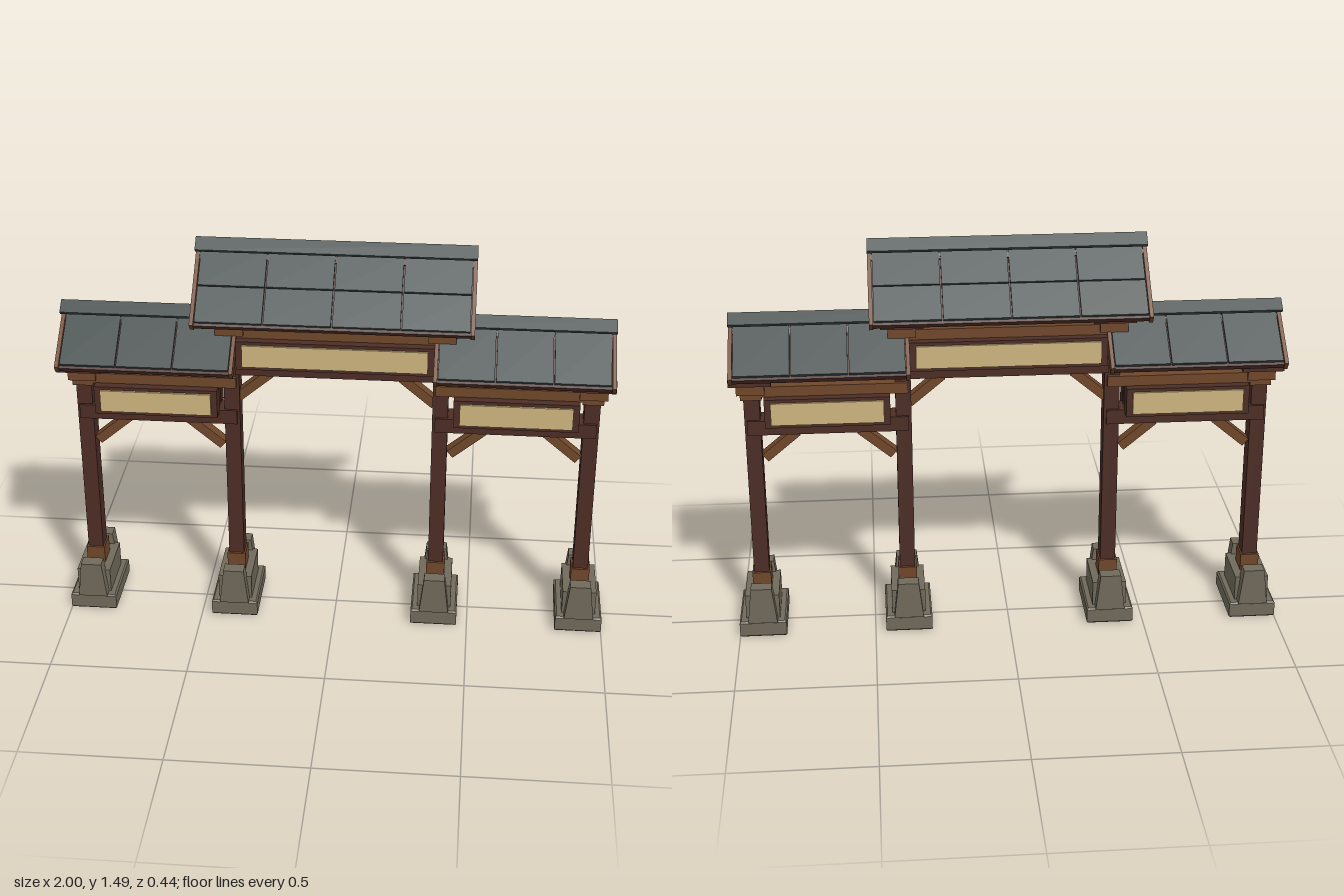
import * as THREE from 'three';

const mat = (name, color) => {
  const m = new THREE.MeshStandardMaterial({ color });
  m.name = name;
  return m;
};

export function createModel() {
  const darkWood = mat('dark wood', 0x4c2d25);
  const lightWood = mat('light wood', 0x70472a);
  const stone = mat('stone', 0x706a5a);
  const slate = mat('slate', 0x394443);
  const cream = mat('cream panel', 0xcdb57e);

  const gate = new THREE.Group();
  gate.name = 'gateway';

  const add = (parent, name, geo, material, x = 0, y = 0, z = 0) => {
    const m = new THREE.Mesh(geo, material);
    m.name = name;
    m.position.set(x, y, z);
    parent.add(m);
    return m;
  };
  // box given by its width, bottom, top and depth
  const slab = (parent, name, material, x, w, y0, y1, d, z = 0) =>
    add(parent, name, new THREE.BoxGeometry(w, y1 - y0, d), material, x, (y0 + y1) / 2, z);

  // tapered stone that clamps the post base
  const clampShape = new THREE.Shape([
    new THREE.Vector2(-0.054, 0.06), new THREE.Vector2(0.054, 0.06),
    new THREE.Vector2(0.038, 0.2), new THREE.Vector2(-0.038, 0.2),
  ]);
  const clampGeo = new THREE.ExtrudeGeometry(clampShape, { depth: 0.05, bevelEnabled: false });

  // base with chamfered upper and lower edges
  const bevel = 0.006;
  const plinthShape = new THREE.Shape();
  const px = 0.086 - bevel, pz = 0.13 - bevel;
  plinthShape.moveTo(-px, -pz).lineTo(px, -pz).lineTo(px, pz).lineTo(-px, pz).closePath();
  const plinthGeo = new THREE.ExtrudeGeometry(plinthShape, {
    depth: 0.062 - 2 * bevel, bevelSize: bevel, bevelThickness: bevel, bevelSegments: 1,
  }).rotateX(-Math.PI / 2).translate(0, bevel, 0);

  // stepped bracket head on top of a post
  function capital(parent, y) {
    slab(parent, 'capitalNeck', lightWood, 0, 0.076, y, y + 0.026, 0.094);
    slab(parent, 'capitalBlock', lightWood, 0, 0.1, y + 0.024, y + 0.068, 0.118);
    slab(parent, 'capitalSlab', darkWood, 0, 0.15, y + 0.066, y + 0.108, 0.166);
  }

  function post(x, capitalY) {
    const g = new THREE.Group();
    g.name = 'post';
    g.position.x = x;
    gate.add(g);
    add(g, 'plinth', plinthGeo, stone);
    slab(g, 'plinthBody', stone, 0, 0.124, 0.06, 0.155, 0.196);
    for (const z of [0.086, -0.136]) add(g, 'clampStone', clampGeo, stone, 0, 0, z);
    slab(g, 'postSleeve', lightWood, 0, 0.068, 0.15, 0.22, 0.084);
    slab(g, 'postShaft', darkWood, 0, 0.056, 0.15, capitalY + 0.175, 0.066);
    capital(g, capitalY);
  }
  for (const s of [-1, 1]) {
    post(s * 0.914, 0.912);
    post(s * 0.375, 1.112);
  }

  // beams, sign boards on both faces and two corner braces between posts
  function bay(x, halfSpan, y, half, braceX) {
    const g = new THREE.Group();
    g.name = 'bay';
    g.position.set(x, y, 0);
    gate.add(g);
    slab(g, 'lowerBeam', darkWood, 0, halfSpan * 2, 0, 0.055, 0.086);
    slab(g, 'upperBeam', lightWood, 0, halfSpan * 2, 0.148, 0.188, 0.096);
    slab(g, 'infillBoard', darkWood, 0, half * 2 + 0.04, 0.05, 0.15, 0.05);
    for (const s of [-1, 1]) {
      slab(g, 'signFrame', darkWood, 0, half * 2 + 0.045, 0.042, 0.15, 0.06, s * 0.05);
      slab(g, 'signPanel', cream, 0, half * 2, 0.055, 0.138, 0.008, s * 0.084);
      const brace = add(g, 'cornerBrace', new THREE.BoxGeometry(0.155, 0.034, 0.044),
        lightWood, s * braceX, -0.05, 0);
      brace.rotation.z = -s * 0.7;
    }
  }
  bay(-0.645, 0.288, 0.775, 0.2, 0.172);
  bay(0.645, 0.288, 0.775, 0.2, 0.172);
  bay(0, 0.36, 0.975, 0.328, 0.295);

  // gabled roof: two mirrored slopes of deck, tiles and edge boards, with a ridge cap
  function roof(x, width, top, halfDepth, angle, cols, rows) {
    const g = new THREE.Group();
    g.name = 'roof';
    g.position.set(x, top, 0);
    gate.add(g);
    const len = halfDepth / Math.cos(angle);
    for (const turn of [0, Math.PI]) {
      const side = new THREE.Group();
      side.name = 'roofSlope';
      side.rotation.y = turn;
      g.add(side);
      const slope = new THREE.Group();
      slope.name = 'slopeBoards';
      slope.rotation.x = angle;
      side.add(slope);
      slab(slope, 'roofDeck', darkWood, 0, width - 0.02, -0.035, -0.013, len - 0.004, len / 2 - 0.002);
      for (const s of [-1, 1])
        slab(slope, 'edgeBoard', lightWood, s * (width / 2 - 0.007), 0.014, -0.037, 0, len, len / 2);
      const tw = (width - 0.028) / cols, tl = (len - 0.012) / rows;
      for (let c = 0; c < cols; c++)
        for (let r = 0; r < rows; r++)
          slab(slope, 'roofTile', slate, (c + 0.5 - cols / 2) * tw, tw - 0.005,
            -0.014, -0.001, tl - 0.005, (r + 0.5) * tl);
      const cap = slab(side, 'ridgeCap', slate, 0, width, 0, 0.014, 0.052);
      cap.geometry.translate(0, -0.007, 0.026);
      cap.position.y = 0.046;
      cap.rotation.x = angle;
    }
  }
  roof(0, 0.976, 1.44, 0.22, 0.715, 4, 2);
  roof(-0.665, 0.63, 1.182, 0.18, 0.645, 3, 1);
  roof(0.665, 0.63, 1.182, 0.18, 0.645, 3, 1);

  return gate;
}
